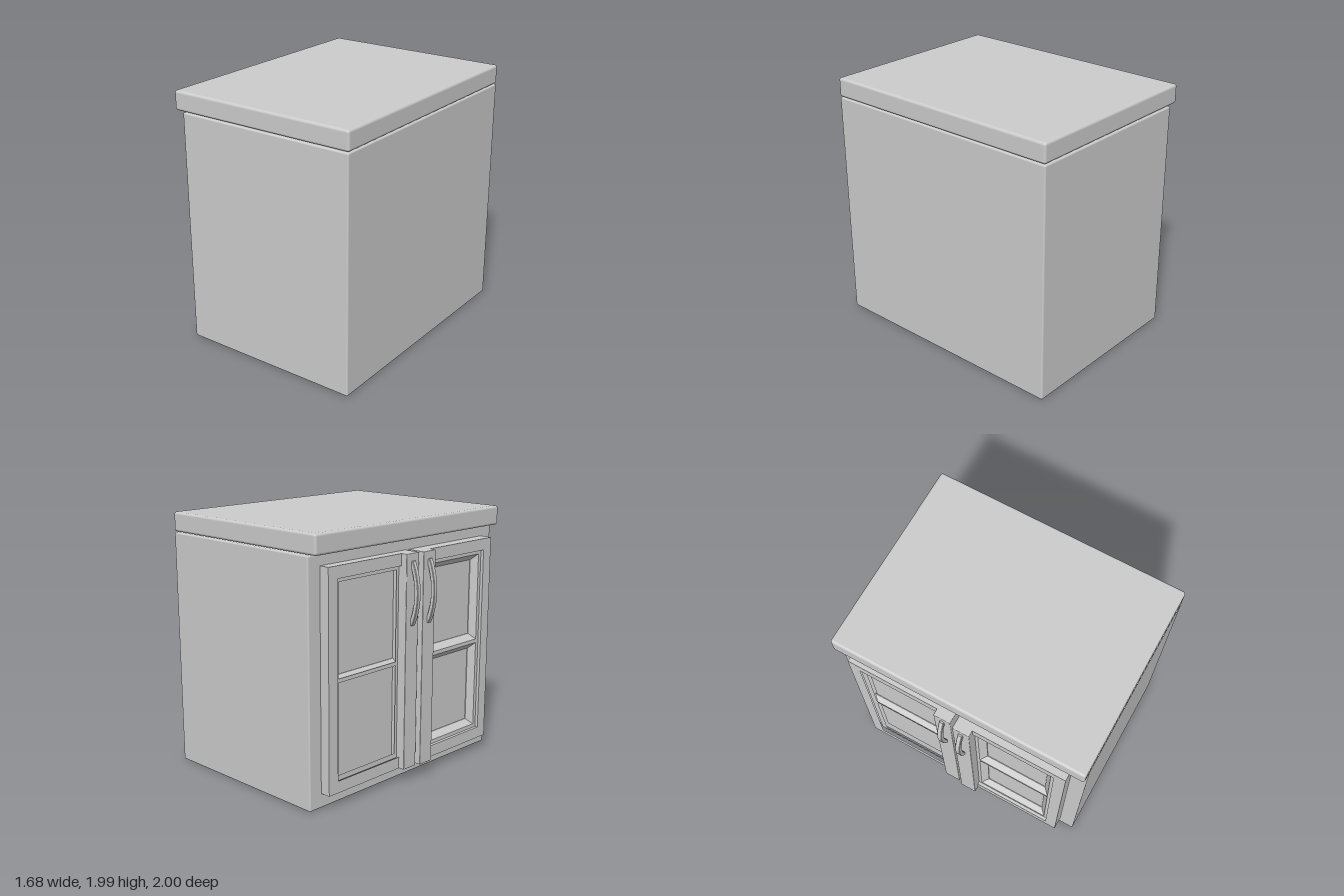
import * as THREE from 'three';
import { RoundedBoxGeometry } from 'three/addons/geometries/RoundedBoxGeometry.js';

const material = new THREE.MeshStandardMaterial({ color: 0xcccccc });

function add(parent, name, geometry) {
  const mesh = new THREE.Mesh(geometry, material);
  mesh.name = name;
  parent.add(mesh);
  return mesh;
}

// Rounded box given by its two opposite corners
function block(parent, name, a, b, radius) {
  const size = b.map((v, i) => Math.abs(v - a[i]));
  const mesh = add(parent, name, new RoundedBoxGeometry(...size, 3, radius));
  mesh.position.set(...a.map((v, i) => (v + b[i]) / 2));
  return mesh;
}

function rectangle(Type, u0, v0, u1, v1) {
  return new Type([[u0, v0], [u1, v0], [u1, v1], [u0, v1]].map(p => new THREE.Vector2(...p)));
}

// One door, drawn flat: local x runs along the cabinet, local z points outward.
// side is the direction from the meeting edge to the hinge edge.
function createDoor(side, meetingEdge) {
  const door = new THREE.Group();
  const bottom = 0.11, top = 1.75, width = 0.87, stile = 0.135;
  const at = u => meetingEdge + side * u;

  // Outer frame with one large opening
  const outline = rectangle(THREE.Shape, at(0.05), bottom, at(width), top);
  outline.holes.push(rectangle(THREE.Path, at(stile), 0.2, at(0.78), 1.66));
  const frame = new THREE.ExtrudeGeometry(outline, { depth: 0.1, bevelEnabled: false });
  add(door, 'doorFrame', frame.translate(0, 0, 0.63));

  // Thick stile at the meeting edge
  block(door, 'meetingStile', [at(0), bottom, 0.63], [at(stile), top, 0.78], 0.006);

  // Recessed moulding: the bevel slopes into the two panes
  const moulding = rectangle(THREE.Shape, at(0.11), 0.19, at(0.8), 1.67);
  for (const [v0, v1] of [[0.23, 0.915], [0.945, 1.63]]) {
    moulding.holes.push(rectangle(THREE.Path, at(0.16), v0, at(0.75), v1));
  }
  const mouldingGeometry = new THREE.ExtrudeGeometry(moulding, {
    depth: 0.005, bevelThickness: 0.045, bevelSize: 0.045, bevelSegments: 1,
  });
  add(door, 'paneMoulding', mouldingGeometry.translate(0, 0, 0.655));

  // Flat panel behind the moulding
  const panel = new THREE.BoxGeometry(0.67, 1.5, 0.02);
  add(door, 'doorPanel', panel.translate(at(0.445), 0.93, 0.645));

  // Bowed handle, cut from an arched profile (outward, up)
  const arch = new THREE.Shape();
  arch.moveTo(0.775, 1.22);
  arch.lineTo(0.79, 1.22);
  arch.bezierCurveTo(0.857, 1.37, 0.857, 1.54, 0.79, 1.69);
  arch.lineTo(0.775, 1.69);
  arch.lineTo(0.775, 1.66);
  arch.bezierCurveTo(0.828, 1.53, 0.828, 1.38, 0.775, 1.25);
  const handle = new THREE.ExtrudeGeometry(arch, {
    depth: 0.028, curveSegments: 16, bevelThickness: 0.004, bevelSize: 0.004, bevelSegments: 1,
  });
  handle.translate(0, 0, -0.014).rotateY(-Math.PI / 2);
  add(door, 'handle', handle.translate(at(0.067), 0, 0));

  // Turn the door to face -x
  door.rotation.y = -Math.PI / 2;
  return door;
}

export function createModel() {
  const cabinet = new THREE.Group();
  cabinet.name = 'cabinet';

  block(cabinet, 'case', [-0.63, 0, -1], [0.832, 1.83, 1], 0.012);
  block(cabinet, 'countertop', [-0.705, 1.835, -1], [0.835, 1.985, 1], 0.02);

  // The two doors sit at slightly different depths
  const frontDoor = createDoor(1, 0.01);
  frontDoor.name = 'frontDoor';
  const rearDoor = createDoor(-1, -0.018);
  rearDoor.name = 'rearDoor';
  rearDoor.position.x = 0.02;
  cabinet.add(frontDoor, rearDoor);

  return cabinet;
}
